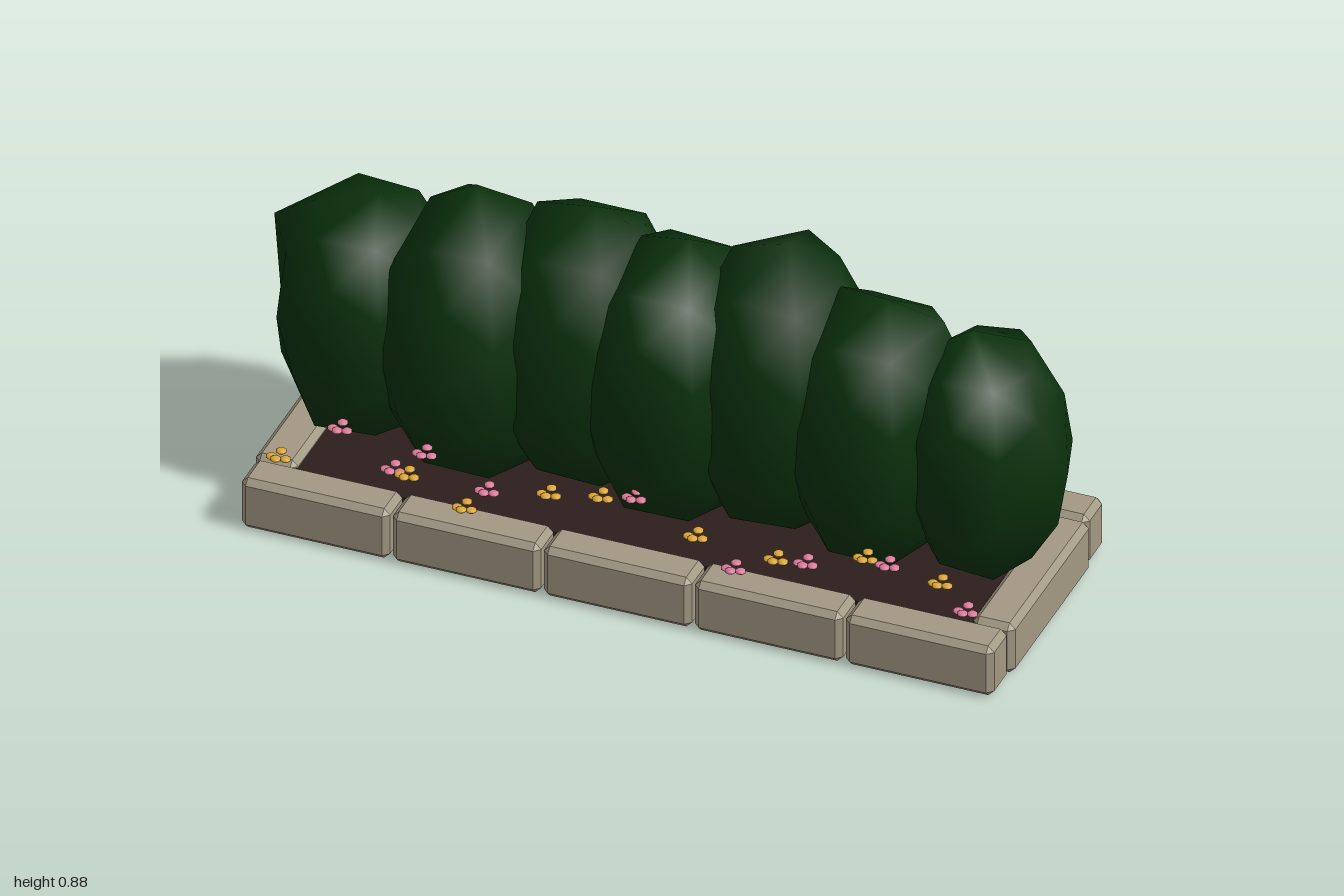
import * as THREE from 'three';
import { mergeVertices } from 'three/addons/utils/BufferGeometryUtils.js';
import { ConvexGeometry } from 'three/addons/geometries/ConvexGeometry.js';

const paint = (name, color) => {
  const m = new THREE.MeshStandardMaterial({ color });
  m.name = name;
  return m;
};

// small seeded random generator
function seeded(seed) {
  return () => {
    seed = (seed * 16807) % 2147483647;
    return seed / 2147483647;
  };
}

// box with every edge cut at 45 degrees
function chamferBox(w, h, d, c) {
  const pts = [];
  for (const x of [-1, 1]) for (const y of [-1, 1]) for (const z of [-1, 1]) {
    const a = w / 2, b = h / 2, e = d / 2;
    pts.push(new THREE.Vector3(x * a, y * (b - c), z * (e - c)));
    pts.push(new THREE.Vector3(x * (a - c), y * b, z * (e - c)));
    pts.push(new THREE.Vector3(x * (a - c), y * (b - c), z * e));
  }
  return new ConvexGeometry(pts);
}

// lumpy smooth bush: stretched, filled-out icosphere whose nearest corners snap to given points
function bushGeometry({ x, left, right, back, front, top, snaps }, rand) {
  const raw = new THREE.IcosahedronGeometry(1, 1);
  raw.deleteAttribute('uv');
  raw.deleteAttribute('normal');
  const geo = mergeVertices(raw, 1e-4);
  const pos = geo.attributes.position;
  const midY = 0.44;
  const p = new THREE.Vector3();
  for (let i = 0; i < pos.count; i++) {
    p.fromBufferAttribute(pos, i);
    const fill = Math.pow(Math.max(Math.hypot(p.x, p.z), 0.01), -0.2);
    p.multiplyScalar(0.97 + rand() * 0.06);
    pos.setXYZ(i,
      x + p.x * fill * (p.x < 0 ? left : right),
      midY + p.y * (p.y < 0 ? 0.33 : top - midY),
      (front - back) / 2 + p.z * fill * (front + back) / 2);
  }
  for (const s of snaps) {
    const target = new THREE.Vector3(...s);
    let best = 0, bestDist = Infinity;
    for (let i = 0; i < pos.count; i++) {
      const d = p.fromBufferAttribute(pos, i).distanceTo(target);
      if (d < bestDist) { bestDist = d; best = i; }
    }
    pos.setXYZ(best, ...s);
  }
  geo.computeVertexNormals();
  return geo;
}

export function createModel() {
  const model = new THREE.Group();
  model.name = 'hedgePlanter';
  const stone = paint('stone', 0xa29883);
  const soil = paint('soil', 0x2c1e1d);
  const leaf = paint('leaf', 0x0a300b);
  const yellow = paint('yellowPetal', 0xdca633);
  const pink = paint('pinkPetal', 0xdc7a9a);
  const red = paint('redPetal', 0xdc5058);
  const lilac = paint('lilacPetal', 0xcdc8e2);

  const add = (parent, name, geo, mat, x, y, z) => {
    const mesh = new THREE.Mesh(geo, mat);
    mesh.name = name;
    mesh.position.set(x, y, z);
    parent.add(mesh);
    return mesh;
  };

  // stone border: five blocks front and back, one at each end
  const border = new THREE.Group();
  border.name = 'stoneBorder';
  const rowBlock = chamferBox(0.372, 0.138, 0.106, 0.015);
  const endBlock = chamferBox(0.106, 0.138, 0.482, 0.015);
  for (let i = 0; i < 5; i++) {
    const x = 0.006 + (i - 2) * 0.379;
    add(border, 'frontBlock', rowBlock, stone, x, 0.069, 0.295);
    add(border, 'backBlock', rowBlock, stone, x, 0.069, -0.295);
  }
  add(border, 'rightEndBlock', endBlock, stone, -0.893, 0.069, 0);
  add(border, 'leftEndBlock', endBlock, stone, 0.907, 0.069, 0);
  model.add(border);

  // soil bed
  add(model, 'soilBed', new THREE.BoxGeometry(1.72, 0.055, 0.5), soil, 0.006, 0.092, 0);

  // row of bushes, alternately set a little forward and back
  const bushes = [
    { x: -0.77, left: 0.21, right: 0.23, back: 0.26, front: 0.225, top: 0.76,
      snaps: [[-1, 0.64, -0.02], [-0.975, 0.27, 0], [-0.73, 0.775, 0], [-0.74, 0.46, -0.27]] },
    { x: -0.47, left: 0.23, right: 0.24, back: 0.22, front: 0.275, top: 0.85,
      snaps: [[-0.47, 0.885, 0.03], [-0.47, 0.475, 0.33], [-0.6, 0.8, 0], [-0.37, 0.81, 0.02]] },
    { x: -0.21, left: 0.24, right: 0.24, back: 0.28, front: 0.225, top: 0.845,
      snaps: [[-0.34, 0.84, -0.02], [-0.2, 0.855, -0.03], [-0.07, 0.825, -0.02], [-0.2, 0.68, -0.285]] },
    { x: 0.03, left: 0.23, right: 0.23, back: 0.24, front: 0.265, top: 0.835,
      snaps: [[0.05, 0.845, 0], [-0.07, 0.825, 0], [0.13, 0.79, 0.02], [0.02, 0.68, 0.255]] },
    { x: 0.28, left: 0.24, right: 0.24, back: 0.275, front: 0.225, top: 0.86,
      snaps: [[0.29, 0.875, -0.03], [0.15, 0.84, -0.02], [0.43, 0.8, 0], [0.29, 0.5, -0.285], [0.28, 0.825, -0.17]] },
    { x: 0.54, left: 0.23, right: 0.21, back: 0.225, front: 0.25, top: 0.8,
      snaps: [[0.55, 0.803, 0], [0.69, 0.775, 0], [0.43, 0.81, 0]] },
    { x: 0.79, left: 0.2, right: 0.2, back: 0.22, front: 0.21, top: 0.75,
      snaps: [[0.76, 0.77, 0], [0.905, 0.685, 0], [1, 0.43, 0], [0.975, 0.28, 0], [0.79, 0.64, -0.225], [0.79, 0.61, 0.2]] },
  ];
  const rand = seeded(77);
  const hedge = new THREE.Group();
  hedge.name = 'hedge';
  for (const b of bushes) add(hedge, 'bush', bushGeometry(b, rand), leaf, 0, 0, 0);
  model.add(hedge);

  // flowers: four flattened petals in a cross, one pair higher; entries are x, y, z
  const petal = new THREE.SphereGeometry(0.0135, 8, 5).scale(1, 0.5, 1);
  const plant = (name, mat, spots) => {
    const bed = new THREE.Group();
    bed.name = name;
    for (const [x, y, z] of spots) {
      const flower = new THREE.Group();
      flower.name = 'flower';
      flower.position.set(x, y, z);
      for (let k = 0; k < 4; k++) {
        const a = k * Math.PI / 2;
        add(flower, 'petal', petal, mat, Math.cos(a) * 0.018, k % 2 ? 0.004 : -0.004, Math.sin(a) * 0.018);
      }
      bed.add(flower);
    }
    model.add(bed);
  };
  plant('yellowFlowers', yellow, [
    [-0.87, 0.175, 0.275], [-0.57, 0.165, 0.22], [-0.4, 0.158, 0.285], [-0.21, 0.21, 0.23], [-0.08, 0.235, 0.23],
    [0.15, 0.17, 0.21], [0.38, 0.208, 0.28], [0.58, 0.225, 0.22], [0.77, 0.205, 0.225]]);
  plant('pinkFlowers', pink, [
    [-0.73, 0.268, 0.24], [-0.61, 0.165, 0.21], [-0.51, 0.266, 0.26], [-0.37, 0.172, 0.22], [0.01, 0.265, 0.245],
    [0.28, 0.166, 0.295], [0.43, 0.172, 0.22], [0.64, 0.226, 0.23], [0.85, 0.172, 0.265]]);
  plant('redFlowers', red, [
    [-0.86, 0.185, -0.235], [-0.62, 0.16, -0.22], [-0.41, 0.23, -0.25], [-0.21, 0.26, -0.25], [-0.05, 0.23, -0.255],
    [0.32, 0.2, -0.23], [0.58, 0.19, -0.245], [0.72, 0.2, -0.24]]);
  plant('lilacFlowers', lilac, [
    [-0.75, 0.27, -0.265], [-0.52, 0.245, -0.295], [-0.33, 0.23, -0.24], [0.06, 0.25, -0.275],
    [0.17, 0.22, -0.25], [0.44, 0.195, -0.24], [0.655, 0.18, -0.31], [0.84, 0.25, -0.265]]);

  return model;
}
